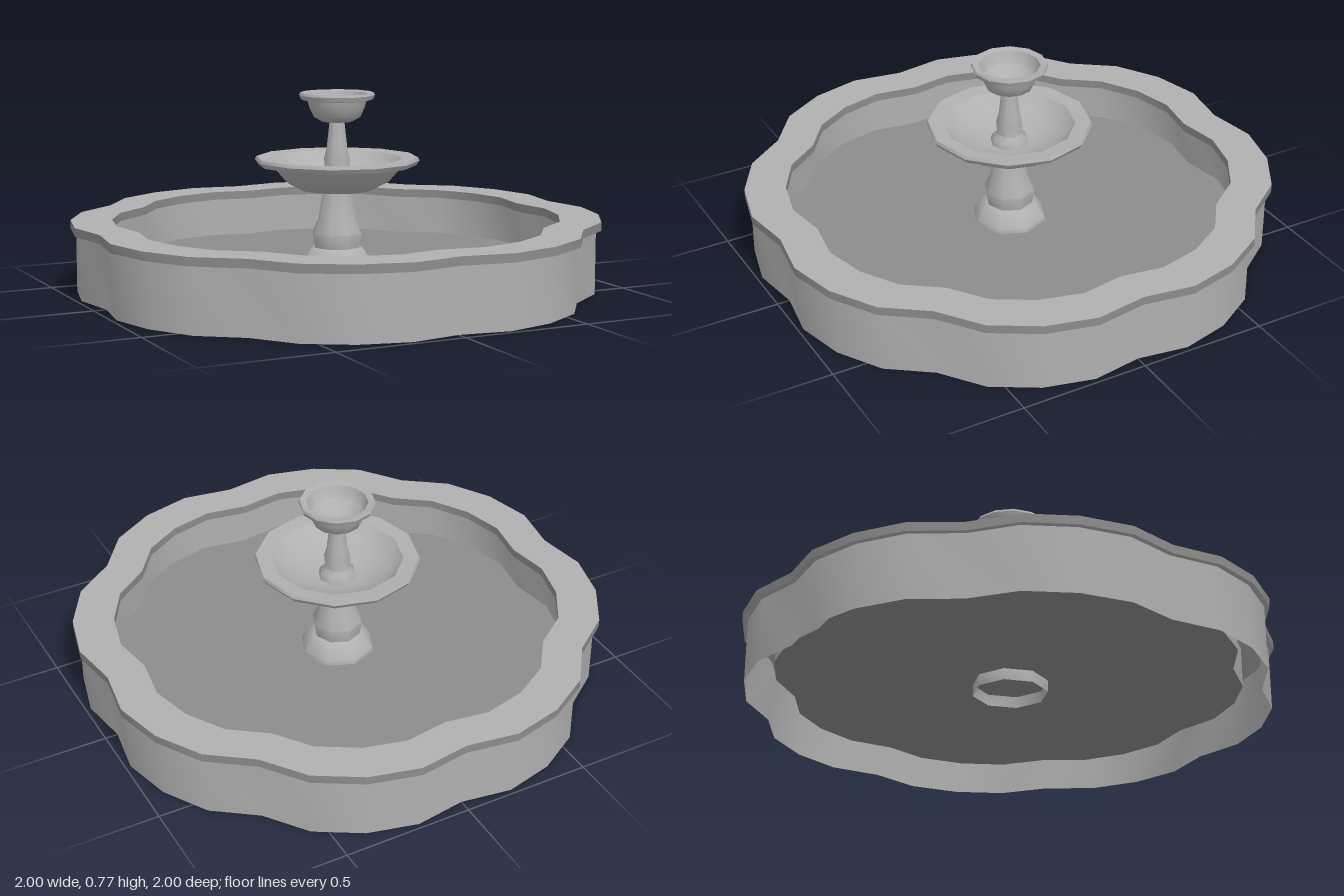
import * as THREE from 'three';
import { toCreasedNormals } from 'three/addons/utils/BufferGeometryUtils.js';

export function createModel() {
  const model = new THREE.Group();
  model.name = 'fountain';

  const material = (name, color) => {
    const m = new THREE.MeshStandardMaterial({ color, side: THREE.DoubleSide });
    m.name = name;
    return m;
  };
  const stone = material('light stone', 0xb0b0b0);
  const darkStone = material('dark stone', 0x8c8c8c);

  // Radius of the scalloped outline: eight lobes of four segments each
  const LOBE = [0.97, 1.02, 1.03, 1.02];
  const SEGMENTS = 32;

  function lathe(name, profile, sides, mat, crease = 0.65, scalloped = false) {
    const geometry = new THREE.LatheGeometry(profile.map(([r, y]) => new THREE.Vector2(r, y)), sides);
    if (scalloped) {
      const p = geometry.attributes.position;
      for (let i = 0; i < p.count; i++) {
        const x = p.getX(i), z = p.getZ(i);
        const step = Math.round(Math.atan2(x, z) / (2 * Math.PI / SEGMENTS)) + SEGMENTS;
        const f = LOBE[step % 4];
        p.setXYZ(i, x * f, p.getY(i), z * f);
      }
    }
    const mesh = new THREE.Mesh(toCreasedNormals(geometry, crease), mat);
    mesh.name = name;
    model.add(mesh);
  }
  const scallop = (name, profile, mat) => lathe(name, profile, SEGMENTS, mat, 0.65, true);

  // Pool: thin outer and inner walls, raised floor, overhanging coping
  scallop('outerWall', [[0.98, 0], [0.98, 0.247]], stone);
  scallop('innerWall', [[0.875, 0.247], [0.875, 0.09]], stone);
  scallop('poolFloor', [[0.875, 0.09], [0, 0.09]], darkStone);
  scallop('copingTop', [[1, 0.28], [0.845, 0.28]], stone);
  scallop('copingUnderside', [[0.845, 0.247], [1, 0.247]], stone);
  scallop('copingOuterEdge', [[1, 0.247], [1, 0.28]], darkStone);
  scallop('copingInnerEdge', [[0.845, 0.28], [0.845, 0.247]], darkStone);

  // Lower pedestal with flared foot, open underneath
  lathe('lowerPedestal', [
    [0.145, 0.045], [0.145, 0.105], [0.11, 0.155], [0.092, 0.165],
    [0.1, 0.22], [0.077, 0.27], [0.055, 0.395],
  ], 8, stone, 0.9);

  // Wide lower bowl
  lathe('lowerBowl', [
    [0, 0.39], [0.14, 0.39], [0.2, 0.42], [0.255, 0.483], [0.308, 0.487], [0.32, 0.505],
    [0.315, 0.517], [0.255, 0.512], [0.2, 0.46], [0.1, 0.43], [0, 0.425],
  ], 12, stone);

  // Upper pedestal
  lathe('upperPedestal', [
    [0.075, 0.425], [0.07, 0.45], [0.05, 0.47], [0.053, 0.51], [0.043, 0.545], [0.03, 0.66],
  ], 8, stone, 0.9);

  // Small upper bowl
  lathe('upperBowl', [
    [0, 0.655], [0.06, 0.655], [0.09, 0.672], [0.108, 0.71], [0.115, 0.737], [0.14, 0.741],
    [0.147, 0.758], [0.143, 0.767], [0.118, 0.762], [0.1, 0.715], [0.055, 0.685], [0, 0.678],
  ], 12, stone);

  return model;
}
